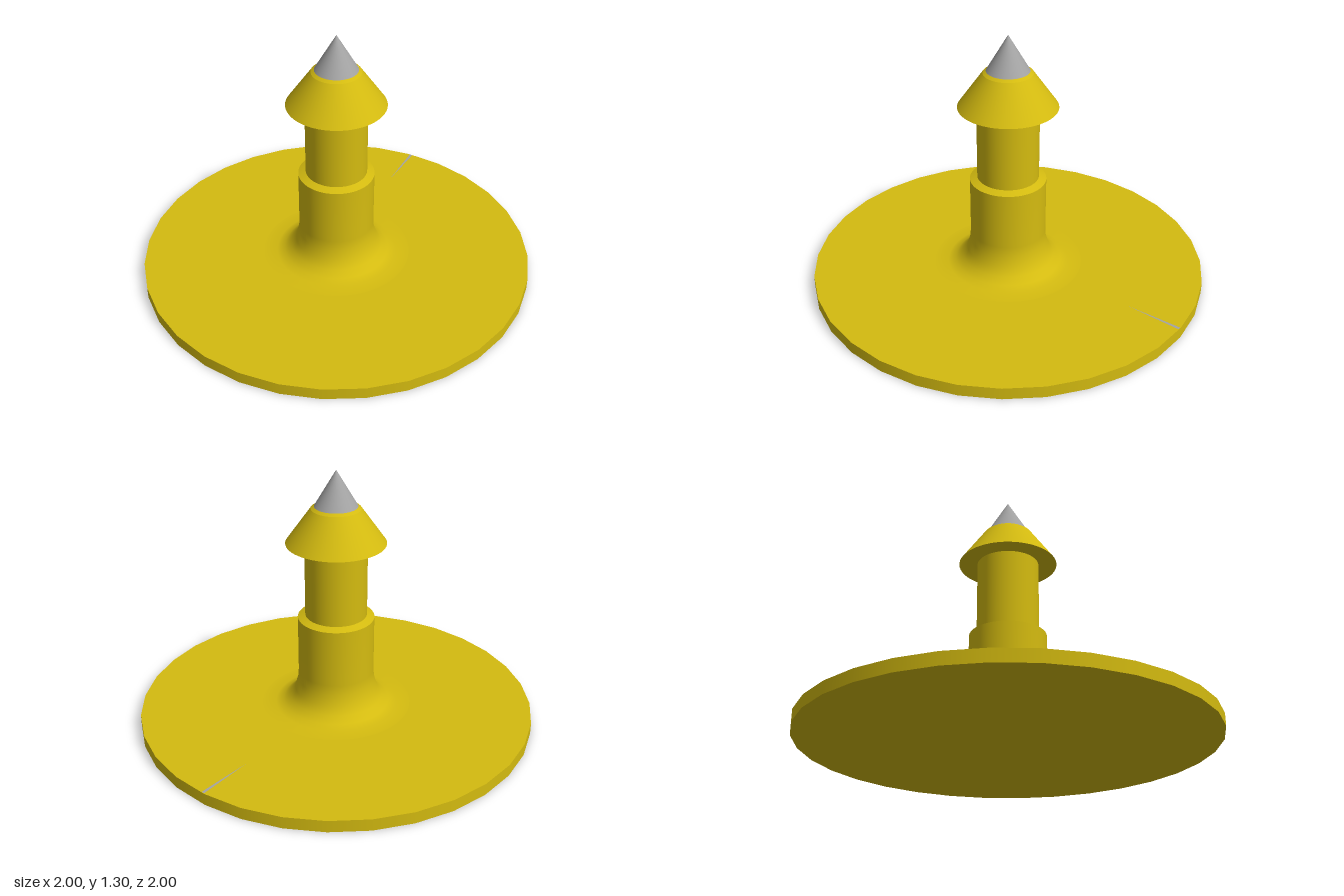
import * as THREE from 'three';

export function createModel() {
  const model = new THREE.Group();
  const yellow = new THREE.MeshStandardMaterial({ color: 0xd4bb10 });
  const grey = new THREE.MeshStandardMaterial({ color: 0xa4a4a4 });
  yellow.name = 'yellow plastic';
  grey.name = 'grey metal';

  // Each profile is one smooth run of [radius, height], listed upwards along the outside;
  // separate runs keep the edges between them sharp.
  function turned(name, material, runs, sides = 64) {
    const part = new THREE.Group();
    part.name = name;
    for (const run of runs) {
      const points = run.map(([r, y]) => new THREE.Vector2(r, y));
      const mesh = new THREE.Mesh(new THREE.LatheGeometry(points, sides), material);
      mesh.name = name + 'Surface';
      part.add(mesh);
    }
    model.add(part);
  }

  // Flat round base
  const disc = new THREE.Mesh(new THREE.CylinderGeometry(1, 1, 0.06, 32), yellow);
  disc.name = 'baseDisc';
  disc.position.y = 0.03;
  model.add(disc);

  // Lower stem with flared foot and bevelled shoulder
  turned('lowerStem', yellow, [
    [[0.38, 0.0605], [0.31, 0.063], [0.27, 0.077], [0.235, 0.105], [0.21, 0.145], [0.195, 0.2], [0.191, 0.25], [0.191, 0.545]],
    [[0.191, 0.545], [0.154, 0.56]],
  ]);

  // Narrow upper stem
  turned('upperStem', yellow, [[[0.154, 0.555], [0.154, 0.94]]]);

  // Barbed head: flat underside, tapered side, small bevel round the tip
  turned('barbedHead', yellow, [
    [[0, 0.94], [0.246, 0.94]],
    [[0.246, 0.94], [0.122, 1.115]],
    [[0.122, 1.115], [0.106, 1.126]],
  ]);

  // Metal point
  turned('metalTip', grey, [[[0.109, 1.12], [0, 1.305]]]);

  // Fine tapering mark at the rear rim of the base
  const wedge = new THREE.Shape([
    new THREE.Vector2(0, 0.71), new THREE.Vector2(0.02, 0.995), new THREE.Vector2(0.004, 0.998),
  ]);
  const mark = new THREE.Mesh(new THREE.ShapeGeometry(wedge), grey);
  mark.name = 'rimMark';
  mark.rotation.x = -Math.PI / 2;
  mark.position.y = 0.061;
  model.add(mark);

  return model;
}
